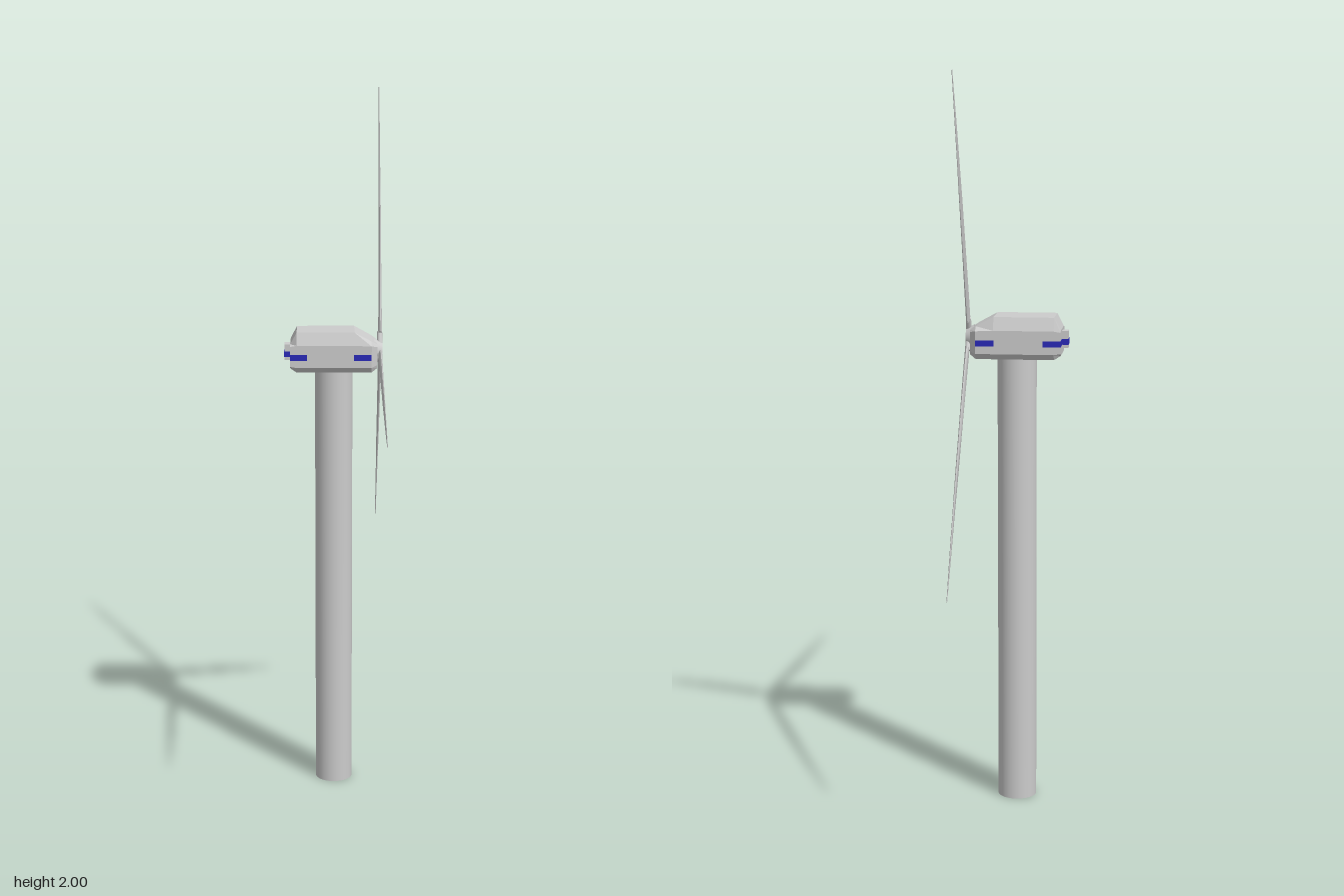
import * as THREE from 'three';
import { toCreasedNormals } from 'three/addons/utils/BufferGeometryUtils.js';

const grey = new THREE.MeshStandardMaterial({ color: 0xcccccc });
const greyFlat = new THREE.MeshStandardMaterial({ color: 0xcccccc, flatShading: true });
const blue = new THREE.MeshStandardMaterial({ color: 0x2a2ab8 });

const AXIS_Z = -0.15; // tower and rotor axis
const HUB_Y = 1.293;

function add(parent, name, geometry, material, x = 0, y = 0, z = 0) {
  const mesh = new THREE.Mesh(geometry, material);
  mesh.name = name;
  mesh.position.set(x, y, z);
  parent.add(mesh);
  return mesh;
}

// Skin a list of equal-length rings, counter-clockwise about the loft direction, with capped ends
function loft(rings) {
  const n = rings[0].length;
  const index = [];
  for (let i = 0; i < rings.length - 1; i++) {
    for (let j = 0; j < n; j++) {
      const a = i * n + j, b = i * n + (j + 1) % n;
      index.push(a, b, b + n, a, b + n, a + n);
    }
  }
  const last = (rings.length - 1) * n;
  for (let j = 1; j < n - 1; j++) {
    index.push(0, j + 1, j, last, last + j, last + j + 1);
  }
  const g = new THREE.BufferGeometry();
  g.setAttribute('position', new THREE.Float32BufferAttribute(rings.flat(2), 3));
  g.setIndex(index);
  g.computeVertexNormals();
  return g;
}

// Chamfered housing, lofted along x
function nacelleGeometry() {
  // x, then half widths (top, side, bottom), then heights (top, shoulder, sill, bottom)
  const sections = [
    [-0.122, 0.046, 0.058, 0.050, 1.316, 1.312, 1.255, 1.248],
    [-0.104, 0.051, 0.066, 0.056, 1.35, 1.315, 1.252, 1.237],
    [0.058, 0.051, 0.066, 0.056, 1.35, 1.315, 1.252, 1.237],
    [0.106, 0.048, 0.066, 0.056, 1.324, 1.313, 1.252, 1.237],
    [0.122, 0.038, 0.046, 0.042, 1.314, 1.308, 1.256, 1.247],
  ];
  // the rear end keeps its full width
  sections[0][2] = 0.066;
  return loft(sections.map(([x, t, s, b, yt, ys, yl, yb]) => [
    [x, yt, -t], [x, yt, t], [x, ys, s], [x, yl, s],
    [x, yb, b], [x, yb, -b], [x, yl, -s], [x, ys, -s],
  ]));
}

// Slim blade along y: straight trailing edge, bowed leading edge
function bladeGeometry() {
  // distance from hub, trailing edge, leading edge, thickness
  const stations = [
    [0.045, -0.012, 0.026, 0.011],
    [0.10, -0.013, 0.031, 0.010],
    [0.25, -0.011, 0.032, 0.008],
    [0.40, -0.009, 0.029, 0.007],
    [0.52, -0.007, 0.024, 0.005],
    [0.62, -0.006, 0.018, 0.004],
    [0.70, -0.004, 0.010, 0.003],
    [0.769, -0.002, 0.002, 0.002],
  ];
  const sides = 12;
  const rings = stations.map(([r, z0, z1, th]) =>
    Array.from({ length: sides }, (_, k) => {
      const a = (k / sides) * Math.PI * 2;
      return [Math.sin(a) * th / 2, r, (z0 + z1) / 2 + Math.cos(a) * (z1 - z0) / 2];
    }));
  return toCreasedNormals(loft(rings), 0.9);
}

export function createModel() {
  const model = new THREE.Group();
  model.name = 'windTurbine';

  // Tower
  add(model, 'tower', new THREE.CylinderGeometry(0.053, 0.053, 1.24, 32), grey, 0, 0.62, AXIS_Z);

  // Housing with its rear vent box
  const nacelle = new THREE.Group();
  nacelle.name = 'nacelle';
  nacelle.position.z = AXIS_Z;
  model.add(nacelle);
  add(nacelle, 'housing', nacelleGeometry(), greyFlat);
  add(nacelle, 'rearBox', new THREE.BoxGeometry(0.02, 0.045, 0.03), grey, -0.129, 1.287, 0);

  // Painted bands on both sides, the rear and the vent box
  for (const side of [1, -1]) {
    add(nacelle, 'rearSideBand', new THREE.BoxGeometry(0.047, 0.016, 0.002), blue, -0.0985, 1.281, side * 0.066);
    add(nacelle, 'frontSideBand', new THREE.BoxGeometry(0.05, 0.016, 0.002), blue, 0.081, 1.281, side * 0.066);
  }
  add(nacelle, 'rearBand', new THREE.BoxGeometry(0.002, 0.016, 0.132), blue, -0.122, 1.281, 0);
  add(nacelle, 'boxBand', new THREE.BoxGeometry(0.021, 0.016, 0.032), blue, -0.1295, 1.281, 0);

  // Rotor: hub with three root sockets and blades
  const rotor = new THREE.Group();
  rotor.name = 'rotor';
  rotor.position.set(0.13, HUB_Y, AXIS_Z);
  model.add(rotor);
  const hub = add(rotor, 'hub', new THREE.CylinderGeometry(0.024, 0.036, 0.022, 24), grey, -0.004, -0.006, 0);
  hub.rotation.z = -Math.PI / 2;

  const blade = bladeGeometry();
  const socket = new THREE.CylinderGeometry(0.007, 0.008, 0.04, 12);
  for (let i = 0; i < 3; i++) {
    const arm = new THREE.Group();
    arm.name = 'bladeArm';
    arm.rotation.x = THREE.MathUtils.degToRad(-23.1 + i * 120);
    add(arm, 'bladeRoot', socket, grey, 0, 0.03, 0.006);
    add(arm, 'blade', blade, grey, 0.001, 0, 0);
    rotor.add(arm);
  }
  return model;
}
